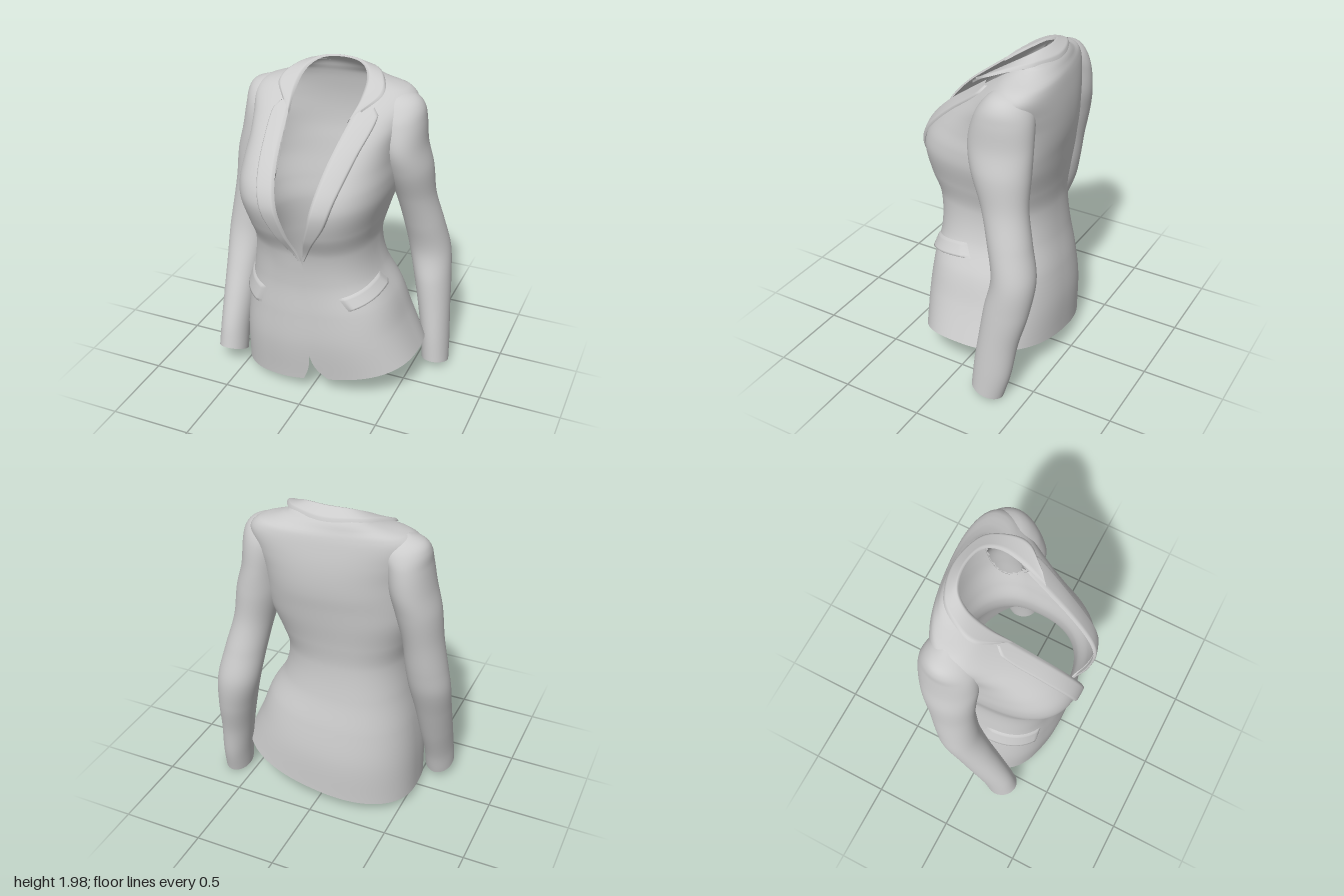
import * as THREE from 'three';

const material = new THREE.MeshStandardMaterial({ color: 0xcccccc, side: THREE.DoubleSide });
const { clamp, smoothstep, lerp } = THREE.MathUtils;

// Smooth interpolation of table rows, keyed by their first column
function sample(table, key) {
  const n = table.length;
  let i = 0;
  while (i < n - 2 && key > table[i + 1][0]) i++;
  const a = table[i], b = table[i + 1], h = b[0] - a[0];
  const t = clamp((key - a[0]) / h, 0, 1);
  const slope = (j, c) => {
    const p = table[Math.max(j - 1, 0)], q = table[Math.min(j + 1, n - 1)];
    return (q[c] - p[c]) / (q[0] - p[0]);
  };
  return a.map((_, c) => {
    const t2 = t * t, t3 = t2 * t;
    return (2 * t3 - 3 * t2 + 1) * a[c] + (t3 - 2 * t2 + t) * h * slope(i, c)
      + (3 * t2 - 2 * t3) * b[c] + (t3 - t2) * h * slope(i + 1, c);
  });
}

// Smooth surface from point(u, v); closed joins the ends of u; faces wholly in hidden(point) are left out
function surface(name, nu, nv, point, closed = false, hidden = () => false) {
  const cols = closed ? nu : nu + 1, points = [], index = [];
  for (let j = 0; j <= nv; j++)
    for (let i = 0; i < cols; i++) points.push(point(i / nu, j / nv));
  const cut = points.map(hidden);
  for (let j = 0; j < nv; j++)
    for (let i = 0; i < nu; i++) {
      const a = j * cols + i, b = j * cols + (i + 1) % cols;
      for (const tri of [[a, b, b + cols], [a, b + cols, a + cols]])
        if (!tri.every((k) => cut[k])) index.push(...tri);
    }
  const g = new THREE.BufferGeometry();
  g.setAttribute('position', new THREE.Float32BufferAttribute(points.flat(), 3));
  g.setIndex(index);
  g.computeVertexNormals();
  const mesh = new THREE.Mesh(g, material);
  mesh.name = name;
  return mesh;
}

// Body sections: height, centre x, half width, centre z, front z, back z, front roundness
const BODY = [
  [0.155, 0.03, 0.56, -0.05, 0.35, -0.445, 0.69],
  [0.4, -0.01, 0.51, -0.04, 0.374, -0.44, 0.7],
  [0.6, -0.03, 0.465, -0.03, 0.37, -0.41, 0.72],
  [0.8, -0.06, 0.395, -0.02, 0.36, -0.365, 0.74],
  [1.0, -0.065, 0.365, -0.02, 0.383, -0.345, 0.74],
  [1.15, -0.062, 0.39, -0.06, 0.448, -0.36, 0.71],
  [1.3, -0.06, 0.425, -0.1, 0.483, -0.385, 0.68],
  [1.4, -0.06, 0.43, -0.12, 0.463, -0.4, 0.68],
  [1.5, -0.06, 0.425, -0.14, 0.4, -0.415, 0.71],
  [1.6, -0.055, 0.43, -0.16, 0.302, -0.42, 0.76],
  [1.7, -0.05, 0.455, -0.18, 0.172, -0.415, 0.83],
  [1.8, -0.045, 0.475, -0.2, 0.03, -0.4, 0.88],
  [1.86, -0.045, 0.42, -0.22, -0.05, -0.385, 0.88],
  [1.89, -0.04, 0.32, -0.235, -0.09, -0.37, 0.87],
  [1.92, -0.037, 0.25, -0.245, -0.13, -0.355, 0.87],
  [1.95, -0.035, 0.2, -0.25, -0.17, -0.33, 0.87],
  [1.972, -0.035, 0.14, -0.24, -0.21, -0.3, 0.87],
];
// Front edges of the two panels: height, right panel x, left panel x
const EDGE = [
  [0.155, -0.03, 0.13], [0.22, 0, 0.06], [0.3, 0.015, 0.02], [0.45, 0.02, 0.005],
  [0.8, 0, -0.015], [0.97, -0.03, -0.02], [1.1, -0.09, 0.03], [1.25, -0.14, 0.08],
  [1.4, -0.18, 0.115], [1.6, -0.22, 0.155], [1.8, -0.26, 0.19], [1.86, -0.28, 0.21],
  [1.92, -0.28, 0.21], [1.95, -0.24, 0.17], [1.972, -0.18, 0.11],
];
const BACK_ROUNDNESS = 0.87;
const spow = (v, p) => Math.sign(v) * Math.abs(v) ** p;
// The shoulders are turned slightly against the hips
const yaw = (dx, y) => -0.13 * dx * smoothstep(y, 0.9, 1.6) * (1 - smoothstep(y, 1.85, 1.95));

// Angle round the body (0 = front, towards +x) of a front point at x
function angleAt(x, y) {
  const [, cx, a, , , , p] = sample(BODY, y);
  return Math.asin(spow(clamp((x - cx) / a, -1, 1), 1 / p));
}
// Point on the body, pushed outwards by off; the hem leans sideways and sags in the middle
function bodyPoint(angle, y, off = 0) {
  const [, cx, a, zc, zf, zb, round] = sample(BODY, y);
  const s = Math.sin(angle), c = Math.cos(angle), p = c > 0 ? round : BACK_ROUNDNESS;
  const x = cx + a * spow(s, p) + off * s;
  const z = zc + (c > 0 ? zf - zc : zc - zb) * spow(c, p) + off * c + yaw(x - cx, y);
  const lean = 0.19 * (x - 0.03) - (c > 0 ? 0.04 : 0.015) * c * c;
  return [x, y + lean * clamp((1 - y) / 0.85, 0, 1), z];
}
function insideBody([x, y, z]) {
  if (y < 1.2) return false;
  const [, cx, a, zc, zf, zb, round] = sample(BODY, y);
  const dx = x - cx, dz = z - yaw(dx, y) - zc, p = dz > 0 ? round : BACK_ROUNDNESS;
  return Math.abs(dx / a) ** (2 / p) + Math.abs(dz / (dz > 0 ? zf - zc : zc - zb)) ** (2 / p) < 0.96;
}

// Sleeve rings: height, centre x, centre z, radius x, radius z
const LEFT_SLEEVE = [
  [0.04, 0.625, -0.26, 0.085, 0.1], [0.2, 0.61, -0.285, 0.09, 0.115], [0.4, 0.585, -0.31, 0.1, 0.12],
  [0.6, 0.555, -0.345, 0.115, 0.135], [0.8, 0.52, -0.37, 0.13, 0.13], [1.0, 0.485, -0.325, 0.125, 0.13],
  [1.2, 0.445, -0.27, 0.12, 0.14], [1.4, 0.41, -0.225, 0.14, 0.18], [1.55, 0.38, -0.205, 0.135, 0.195],
  [1.7, 0.355, -0.215, 0.145, 0.175], [1.78, 0.335, -0.225, 0.145, 0.14], [1.83, 0.31, -0.23, 0.12, 0.095],
  [1.858, 0.28, -0.235, 0.06, 0.04],
];
const RIGHT_SLEEVE = [
  [0.1, -0.595, 0.21, 0.09, 0.1], [0.25, -0.595, 0.17, 0.09, 0.105], [0.45, -0.595, 0.09, 0.1, 0.115],
  [0.65, -0.595, 0.01, 0.11, 0.12], [0.85, -0.59, -0.065, 0.125, 0.125], [1.0, -0.575, -0.095, 0.125, 0.13],
  [1.2, -0.555, -0.12, 0.118, 0.14], [1.4, -0.525, -0.14, 0.13, 0.165], [1.55, -0.49, -0.15, 0.13, 0.18],
  [1.7, -0.465, -0.155, 0.13, 0.17], [1.78, -0.44, -0.16, 0.145, 0.14], [1.83, -0.42, -0.165, 0.13, 0.095],
  [1.864, -0.39, -0.17, 0.07, 0.04],
];
function sleeve(name, rings, cuffTilt) {
  const y0 = rings[0][0], y1 = rings[rings.length - 1][0];
  return surface(name, 64, 110, (u, v) => {
    const [y, cx, cz, rx, rz] = sample(rings, lerp(y0, y1, 1 - (1 - v) ** 1.3));
    const t = u * Math.PI * 2, dz = rz * Math.cos(t);
    const tilt = cuffTilt * dz * (1 - smoothstep(y, 0.1, 0.8));
    return [cx + rx * Math.sin(t), y + tilt, cz + dz];
  }, true, insideBody);
}
// Armholes: the parts of the body that lie within a sleeve
const insideSleeve = ([x, y, z]) => y > 1.2 && y < 1.82 && [LEFT_SLEEVE, RIGHT_SLEEVE].some((rings) => {
  const [, cx, cz, rx, rz] = sample(rings, y);
  return Math.hypot((x - cx) / rx, (z - cz) / rz) < 0.97;
});

// Raised cloth profile: edges turned down, middle flat
const raise = (u) => 0.016 * Math.min(1, 9 * Math.min(u, 1 - u)) ** 0.5;

// Lapel outlines: height, right inner x, right outer x, left inner x, left outer x
const LAPEL = [
  [0.97, -0.025, -0.04, -0.02, -0.005], [1.1, -0.07, -0.13, 0.005, 0.06], [1.25, -0.105, -0.205, 0.045, 0.145],
  [1.4, -0.14, -0.25, 0.075, 0.19], [1.6, -0.185, -0.295, 0.11, 0.24], [1.76, -0.22, -0.32, 0.145, 0.28],
  [1.8, -0.23, -0.285, 0.155, 0.245],
];
function lapel(name, from, to) {
  return surface(name, 16, 50, (u, v) => {
    const row = sample(LAPEL, lerp(0.97, 1.8, v)), y = row[0];
    return bodyPoint(angleAt(lerp(row[from], row[to], u), y), y, raise(u) + 0.003);
  });
}

// Collar: inner and outer edge points from the right notch to the middle of the back
function collar() {
  const mid = -0.035;
  const inner = [[-0.215, 1.74, 0.105], [-0.235, 1.84, -0.035], [-0.225, 1.925, -0.16], [-0.16, 1.977, -0.245], [mid, 1.99, -0.275]];
  const outer = [[-0.275, 1.795, 0.045], [-0.355, 1.865, -0.06], [-0.335, 1.912, -0.17], [-0.24, 1.94, -0.295], [mid, 1.935, -0.352]];
  const full = (half) => new THREE.CatmullRomCurve3(
    [...half, ...half.slice(0, -1).reverse().map(([x, y, z]) => [2 * mid - x, y, z])]
      .map((p) => new THREE.Vector3(...p)), false, 'catmullrom', 0.5);
  const ci = full(inner), co = full(outer);
  return surface('collar', 14, 80, (u, v) => {
    const p = co.getPoint(v).lerp(ci.getPoint(v), u);
    const front = 0.008 * (2 * v - 1) ** 2;
    return [p.x, p.y + raise(u) - 0.004 + front, p.z + front];
  });
}

// Pocket flap hanging on the side of the hip, standing off at its lower edge
function pocketFlap(name, side, height) {
  return surface(name, 24, 10, (u, v) => {
    const k = side > 0 ? u : 1 - u;
    const angle = side * (lerp(0.48, 1.47, k) + 0.08 * (1 - v));
    const y = lerp(0.725, 0.785, k) - height * (1 - v);
    const edge = Math.min(1, 12 * Math.min(u, 1 - u, v + 0.03, 1 - v));
    return bodyPoint(angle, y, edge * (0.008 + 0.016 * (1 - v)));
  });
}

export function createModel() {
  const jacket = new THREE.Group();
  jacket.name = 'jacket';

  // Body shell, from the left front edge round the back to the right front edge
  jacket.add(surface('body', 160, 150, (u, v) => {
    const y = lerp(0.155, 1.972, v);
    const [, xr, xl] = sample(EDGE, y);
    const angle = lerp(angleAt(xl, y), Math.PI * 2 + angleAt(xr, y), u);
    const overlap = 0.01 * smoothstep(u, 0.93, 0.99) * (1 - smoothstep(y, 0.9, 1.1));
    return bodyPoint(angle, y, overlap);
  }, false, insideSleeve));

  jacket.add(sleeve('leftSleeve', LEFT_SLEEVE, 0.28), sleeve('rightSleeve', RIGHT_SLEEVE, 0.45));
  jacket.add(lapel('rightLapel', 2, 1), lapel('leftLapel', 3, 4), collar());
  jacket.add(pocketFlap('leftPocketFlap', 1, 0.08), pocketFlap('rightPocketFlap', -1, 0.11));
  return jacket;
}
